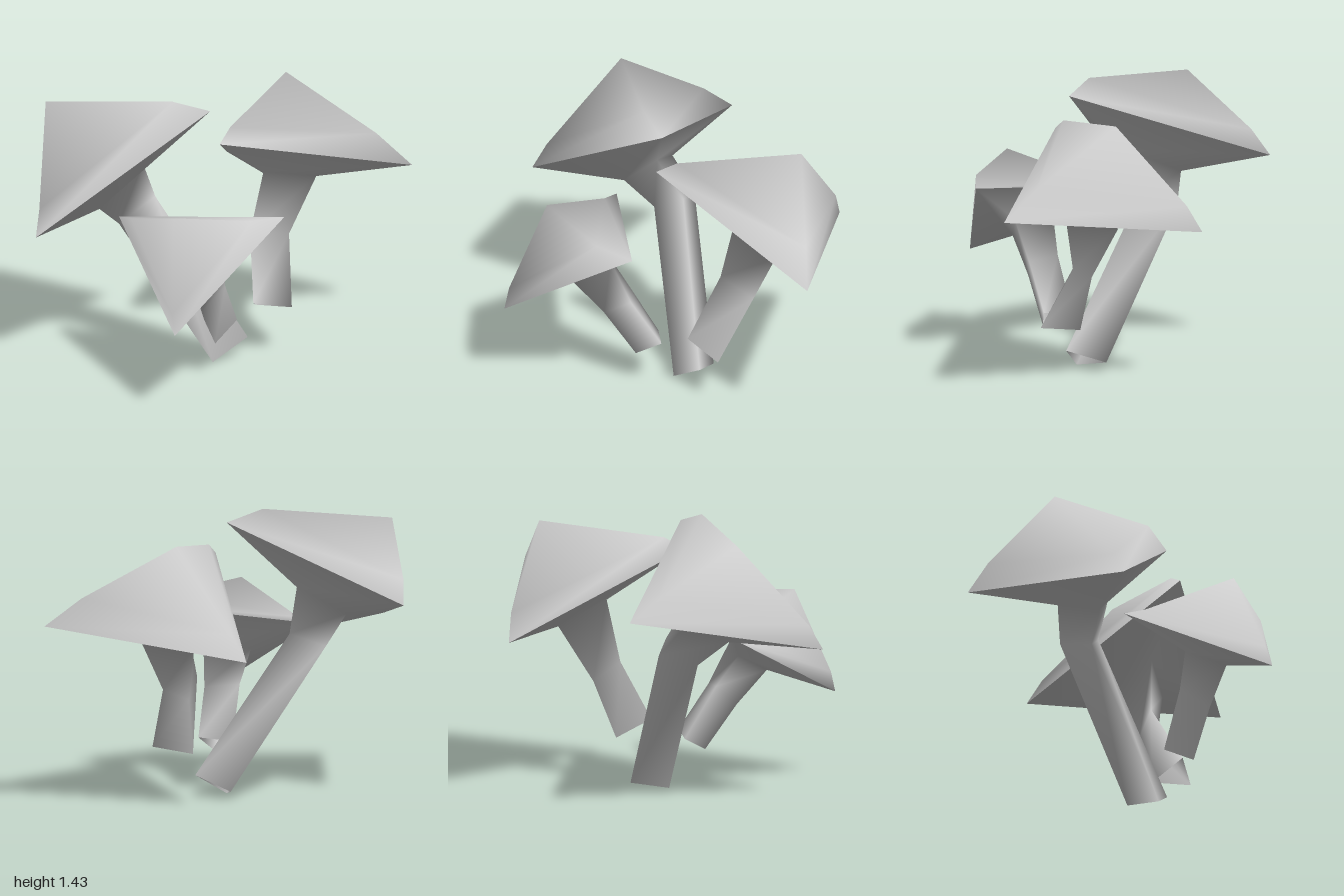
import * as THREE from 'three';
import { mergeVertices } from 'three/addons/utils/BufferGeometryUtils.js';

const V = (a) => new THREE.Vector3(...a);

// Smooth skin over three-cornered rings listed from top to bottom.
function loft(rings) {
  const positions = rings.flat().flatMap((p) => p.toArray());
  const index = [];
  for (let r = 0; r < rings.length - 1; r++) {
    for (let i = 0; i < 3; i++) {
      const j = (i + 1) % 3;
      const [ui, uj, li, lj] = [r * 3 + i, r * 3 + j, r * 3 + 3 + i, r * 3 + 3 + j];
      index.push(li, lj, uj, li, uj, ui);
    }
  }
  let geometry = new THREE.BufferGeometry();
  geometry.setAttribute('position', new THREE.Float32BufferAttribute(positions, 3));
  geometry.setIndex(index);
  geometry = mergeVertices(geometry, 1e-4);
  geometry.computeVertexNormals();
  return geometry;
}

// Each ring has three corners, counter-clockwise from above;
// foot is the centre of the lowest ring, a small copy of the rim.
function createMushroom({ name, apex, shoulder, rim, neck, bend, foot }, material) {
  const corners = rim.map(V);
  const center = new THREE.Vector3();
  corners.forEach((c) => center.addScaledVector(c, 1 / 3));
  const footRing = corners.map((c) => c.clone().sub(center).multiplyScalar(0.2).add(V(foot)));

  const group = new THREE.Group();
  group.name = name;
  const add = (part, rings) => {
    const mesh = new THREE.Mesh(loft(rings), material);
    mesh.name = part;
    group.add(mesh);
  };

  // Pointed cap with a rounded shoulder
  add('cap', [[V(apex), V(apex), V(apex)], shoulder.map(V), corners]);
  // Underside flowing into the bent stem, open at the foot
  add('undersideAndStem', [corners, neck.map(V), bend.map(V), footRing]);
  return group;
}

export function createModel() {
  const material = new THREE.MeshStandardMaterial({ color: 0xcccccc, side: THREE.DoubleSide });
  const model = new THREE.Group();
  model.name = 'mushroomCluster';
  const mushrooms = [
    {
      name: 'tallMushroom',
      apex: [-0.71, 1.385, -0.32],
      shoulder: [[-0.947, 0.952, -0.01], [-0.24, 1.43, 0.13], [-0.45, 1.14, -0.67]],
      rim: [[-1, 0.825, 0.04], [-0.068, 1.37, 0.213], [-0.35, 1.03, -0.775]],
      neck: [[-0.53, 0.84, -0.1], [-0.295, 1.05, -0.06], [-0.39, 0.93, -0.32]],
      bend: [[-0.38, 0.715, -0.15], [-0.18, 0.83, -0.125], [-0.25, 0.78, -0.315]],
      foot: [0.08, 0.05, 0.127],
    },
    {
      name: 'leftMushroom',
      apex: [0.58, 1.355, -0.09],
      shoulder: [[0.04, 1.268, 0.23], [0.88, 1.083, 0.283], [0.536, 0.944, -0.445]],
      rim: [[-0.055, 1.21, 0.28], [0.998, 0.935, 0.433], [0.505, 0.805, -0.52]],
      neck: [[0.31, 0.94, 0.12], [0.6, 0.87, 0.16], [0.463, 0.825, -0.1]],
      bend: [[0.23, 0.63, 0.12], [0.45, 0.585, 0.14], [0.35, 0.53, 0.055]],
      foot: [0.252, 0.273, 0.24],
    },
    {
      name: 'smallMushroom',
      apex: [-0.52, 1, 0.573],
      shoulder: [[-0.635, 0.56, 0.74], [-0.13, 0.942, 0.69], [-0.486, 0.852, 0.128]],
      rim: [[-0.64, 0.455, 0.773], [0.08, 0.915, 0.67], [-0.49, 0.83, 0.02]],
      neck: [[-0.384, 0.58, 0.53], [-0.183, 0.708, 0.5], [-0.342, 0.683, 0.32]],
      bend: [[-0.261, 0.407, 0.44], [-0.11, 0.503, 0.418], [-0.23, 0.52, 0.287]],
      foot: [-0.07, 0.234, 0.295],
    },
  ];
  mushrooms.forEach((m) => model.add(createMushroom(m, material)));
  return model;
}
